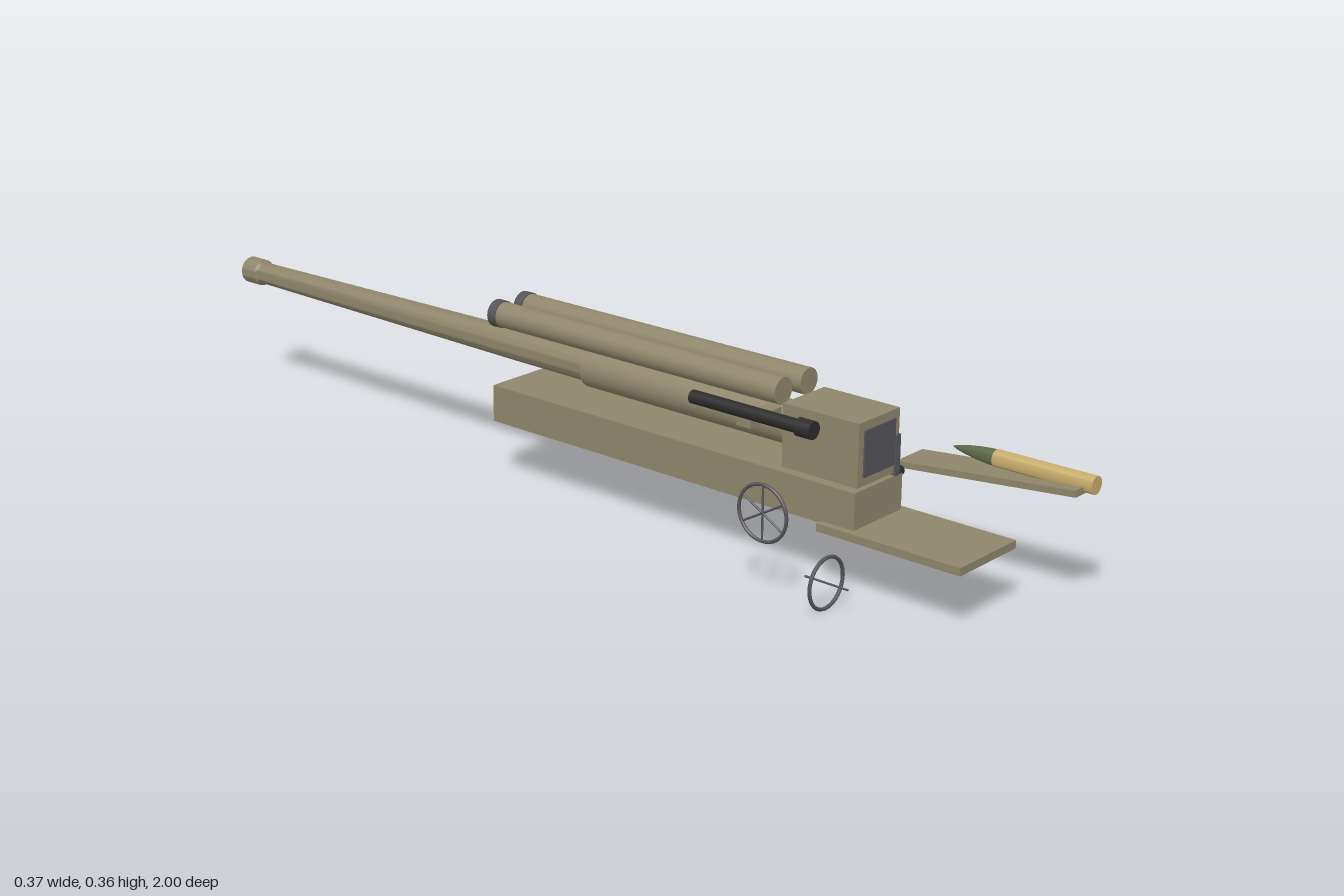
import * as THREE from 'three';
import { toCreasedNormals } from 'three/addons/utils/BufferGeometryUtils.js';

const paint = (color) => new THREE.MeshStandardMaterial({ color });
const OLIVE = paint(0x8f866b), STEEL = paint(0x55545a), BLACK = paint(0x2c2c2c);
const BRASS = paint(0xc8ad6c), GREEN = paint(0x5f6a48);
const AXIS_X = 0.004, AXIS_Y = 0.261;

export function createModel() {
  const model = new THREE.Group();

  const add = (name, geometry, material, x, y, z, parent = model) => {
    const mesh = new THREE.Mesh(geometry, material);
    mesh.name = name;
    mesh.position.set(x, y, z);
    parent.add(mesh);
    return mesh;
  };
  // Box given by its limits on each axis
  const box = (name, material, [x0, x1], [y0, y1], [z0, z1]) =>
    add(name, new THREE.BoxGeometry(x1 - x0, y1 - y0, z1 - z0), material,
      (x0 + x1) / 2, (y0 + y1) / 2, (z0 + z1) / 2);
  // Cylinder lying along z
  const rod = (name, material, r, x, y, z0, z1, sides = 32) =>
    add(name, new THREE.CylinderGeometry(r, r, z1 - z0, sides).rotateX(Math.PI / 2), material,
      x, y, (z0 + z1) / 2);
  // Turned part along z; profile holds [radius, z] with z falling on the outside
  const turned = (name, material, x, y, profile) => {
    const points = profile.map(([r, z]) => new THREE.Vector2(r, -z));
    const geometry = new THREE.LatheGeometry(points, 32).rotateX(-Math.PI / 2);
    return add(name, toCreasedNormals(geometry, 0.6), material, x, y, 0);
  };

  // Cradle and loading platform
  box('cradle', OLIVE, [-0.065, 0.074], [0.122, 0.195], [-0.21, 0.655]);
  box('platform', OLIVE, [-0.079, 0.088], [0.111, 0.126], [0.585, 0.885]);

  // Tapered barrel with muzzle collar and open bore
  turned('barrel', OLIVE, AXIS_X, AXIS_Y, [
    [0, 0.02], [0.032, 0.02], [0.031, -0.2], [0.0225, -0.955], [0.0275, -0.96],
    [0.0275, -1], [0.0135, -1], [0.0135, -0.9], [0, -0.9]]);
  rod('barrelJacket', OLIVE, 0.04, AXIS_X, AXIS_Y, -0.01, 0.5);

  // Breech with its block and lever
  box('breechRing', OLIVE, [-0.055, 0.063], [0.2, 0.318], [0.488, 0.652]);
  box('breechBlock', STEEL, [-0.04, 0.049], [0.216, 0.302], [0.6, 0.655]);
  box('breechLever', STEEL, [0.051, 0.064], [0.194, 0.27], [0.643, 0.656]);
  add('leverHandle', new THREE.CylinderGeometry(0.009, 0.009, 0.02, 16).rotateZ(Math.PI / 2),
    BLACK, 0.071, 0.196, 0.646);

  // Twin recoil cylinders with dark end caps
  for (const x of [-0.032, 0.041]) {
    rod('recoilCylinder', OLIVE, 0.025, x, 0.33, -0.22, 0.47);
    rod('recoilCylinderCap', STEEL, 0.0268, x, 0.33, -0.23, -0.21);
  }

  // Sight on its bracket
  box('sightBracket', OLIVE, [-0.137, -0.05], [0.29, 0.308], [0.45, 0.481]);
  rod('sightTube', BLACK, 0.0125, -0.136, 0.319, 0.35, 0.6, 24);
  rod('sightEyepiece', BLACK, 0.0165, -0.136, 0.319, 0.585, 0.617, 24);

  // Elevating handwheel, facing sideways
  const elevating = new THREE.Group();
  elevating.name = 'elevatingHandwheel';
  elevating.position.set(-0.17, 0.159, 0.538);
  add('rim', new THREE.TorusGeometry(0.052, 0.0033, 8, 40).rotateY(Math.PI / 2), STEEL, 0, 0, 0, elevating);
  for (let i = 0; i < 3; i++) {
    const spoke = new THREE.CylinderGeometry(0.002, 0.002, 0.104, 8).rotateX(i * Math.PI / 3);
    add('spoke', spoke, STEEL, 0, 0, 0, elevating);
  }
  model.add(elevating);

  // Traversing handwheel, facing the rear of the gun
  const traversing = new THREE.Group();
  traversing.name = 'traversingHandwheel';
  traversing.position.set(-0.136, 0.051, 0.653);
  add('rim', new THREE.TorusGeometry(0.047, 0.0035, 8, 40), STEEL, 0, 0, 0, traversing);
  add('shaft', new THREE.CylinderGeometry(0.002, 0.002, 0.092, 8).rotateX(Math.PI / 2), STEEL, 0, 0, 0, traversing);
  model.add(traversing);

  // Sloping loading tray with one round
  const tray = add('loadingTray', new THREE.BoxGeometry(0.08, 0.012, 0.366), OLIVE, 0.145, 0.212, 0.802);
  tray.rotation.x = -0.1;
  turned('cartridgeCase', BRASS, 0.145, 0.239, [[0, 1], [0.0165, 1], [0.0155, 0.8], [0, 0.8]]);
  turned('shell', GREEN, 0.145, 0.239, [
    [0.0148, 0.81], [0.0145, 0.79], [0.0122, 0.765], [0.0085, 0.74], [0.004, 0.72], [0, 0.71]]);

  return model;
}
